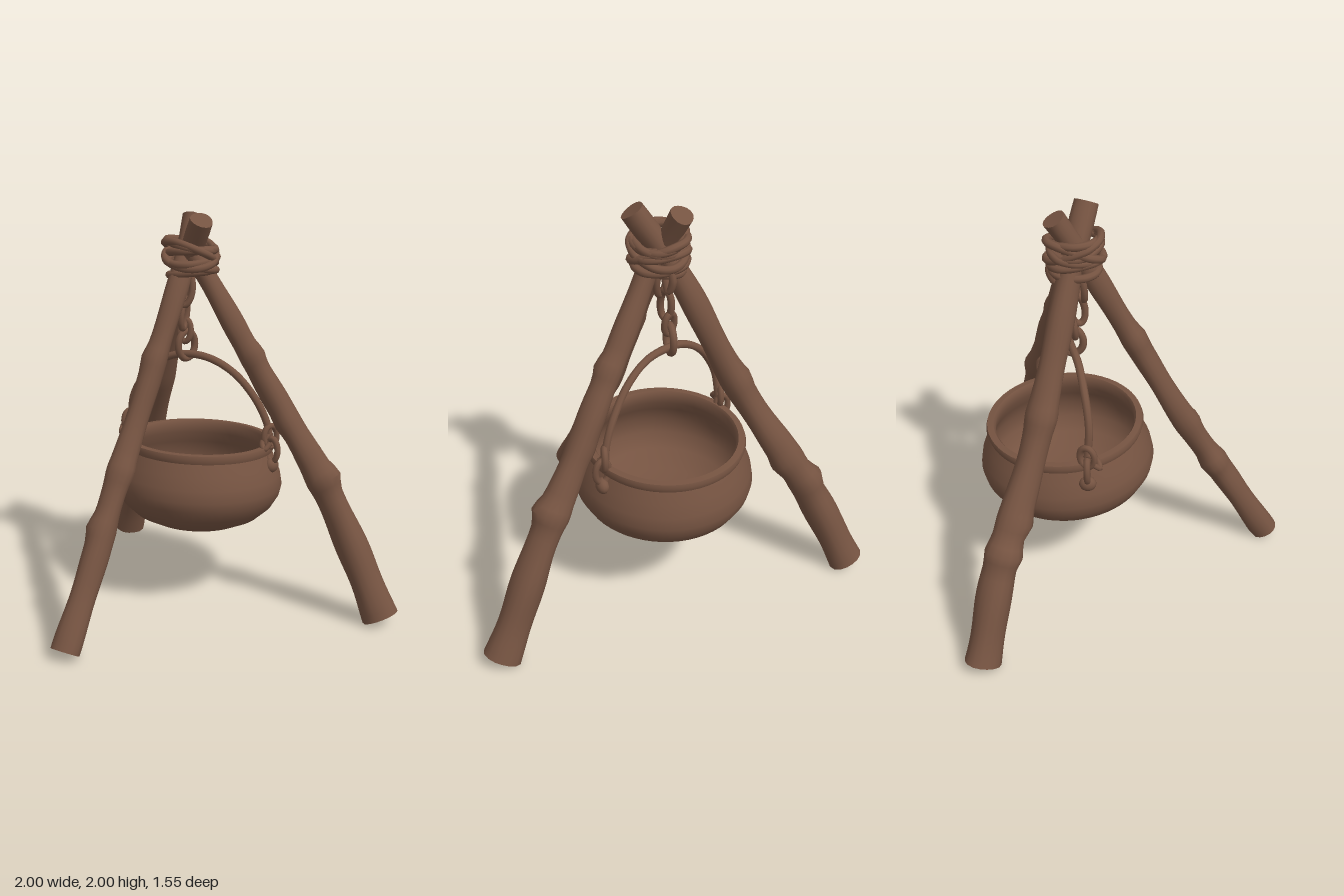
import * as THREE from 'three';
import { mergeVertices, toCreasedNormals } from 'three/addons/utils/BufferGeometryUtils.js';

const V = (p) => new THREE.Vector3(...p);
const UP = new THREE.Vector3(0, 1, 0);

export function createModel() {
  const model = new THREE.Group();
  model.name = 'campfireCauldron';
  const brown = new THREE.MeshStandardMaterial({ color: 0x755341 });
  brown.name = 'brown';

  function add(name, geometry, parent = model) {
    const mesh = new THREE.Mesh(geometry, brown);
    mesh.name = name;
    parent.add(mesh);
    return mesh;
  }
  const tube = (points, radius, segments = 32, closed = false) =>
    new THREE.TubeGeometry(new THREE.CatmullRomCurve3(points.map(V), closed), segments, radius, 8, closed);

  // A rough branch: a capped cylinder bent along a curve, with knots [t, angle, height]
  function branch(points, r0, r1, knots, seed) {
    const curve = new THREE.CatmullRomCurve3(points.map(V));
    let geo = new THREE.CylinderGeometry(1, 1, 1, 16, 56);
    geo.deleteAttribute('uv');
    geo.deleteAttribute('normal');
    geo = mergeVertices(geo);
    const pos = geo.attributes.position;
    const q = new THREE.Quaternion();
    for (let i = 0; i < pos.count; i++) {
      const v = new THREE.Vector3().fromBufferAttribute(pos, i);
      const t = v.y + 0.5;
      const a = Math.atan2(v.z, v.x);
      let r = r1 + (r0 - r1) * Math.pow(1 - t, 1.25);
      r *= 1 + 0.05 * Math.sin(t * 31 + seed) + 0.04 * Math.sin(3 * a + t * 17 + seed);
      for (const [kt, ka, h] of knots) {
        r += h * Math.exp(-(((t - kt) / 0.022) ** 2)) * (0.55 + 0.45 * Math.cos(a - ka));
      }
      v.y = 0;
      v.multiplyScalar(r);
      q.setFromUnitVectors(UP, curve.getTangentAt(t));
      v.applyQuaternion(q).add(curve.getPointAt(t));
      pos.setXYZ(i, v.x, Math.max(0, v.y), v.z);
    }
    return toCreasedNormals(geo, 0.8);
  }

  // Three legs crossing under the lashing
  add('frontLeg', branch(
    [[0.06, 0.03, 0.715], [0.02, 0.45, 0.47], [-0.02, 0.95, 0.19], [-0.045, 1.65, -0.17], [-0.1, 1.965, -0.34]],
    0.068, 0.052, [[0.27, 3, 0.02], [0.4, 0.5, 0.012], [0.66, 2, 0.012]], 1));
  add('leftLeg', branch(
    [[0.92, 0.035, -0.62], [0.63, 0.66, -0.53], [0.43, 1.0, -0.45], [0.05, 1.67, -0.285], [-0.04, 1.83, -0.24]],
    0.088, 0.05, [[0.36, 0, 0.028], [0.7, 0, 0.018], [0.52, 2.5, 0.01]], 2));
  add('rightLeg', branch(
    [[-0.915, 0.035, -0.69], [-0.705, 0.5, -0.59], [-0.42, 1.0, -0.43], [-0.1, 1.68, -0.28], [0.075, 1.965, -0.205]],
    0.088, 0.055, [[0.25, 3, 0.03], [0.32, 1, 0.02], [0.55, 3, 0.012]], 3));

  // Rope lashing: wavy turns plus two crossing turns
  const lashing = new THREE.Group();
  lashing.name = 'ropeLashing';
  lashing.position.set(-0.035, 0, -0.255);
  model.add(lashing);
  const turns = [
    [1.7, 0.105, 0.015], [1.735, 0.118, -0.02], [1.77, 0.12, 0.02],
    [1.805, 0.115, -0.015], [1.835, 0.118, 0.025], [1.8, 0.125, 0.06], [1.79, 0.125, -0.06],
  ];
  turns.forEach(([y, r, tilt], n) => {
    const ring = [];
    for (let i = 0; i < 12; i++) {
      const a = (i / 12) * Math.PI * 2;
      const k = r * (1 + 0.06 * Math.cos(3 * a + n));
      ring.push([k * Math.cos(a), y + tilt * Math.cos(a + n * 0.9), k * Math.sin(a)]);
    }
    add('ropeTurn', tube(ring, 0.019, 48, true), lashing);
  });
  add('ropeEnd', tube([[0, 1.74, -0.11], [-0.01, 1.67, -0.12], [0, 1.62, -0.1], [0.01, 1.68, -0.08]], 0.018), lashing);

  // Chain of long links, alternately turned
  function link(name, [x, y, z], halfW, halfH, r, turn, lean = 0) {
    const pts = [];
    for (let i = 0; i < 16; i++) {
      const a = (i / 16) * Math.PI * 2;
      pts.push([halfW * Math.cos(a), halfH * Math.sin(a), 0]);
    }
    const mesh = add(name, tube(pts, r, 32, true));
    mesh.position.set(x, y, z);
    mesh.rotation.set(lean, turn, 0, 'XYZ');
    return mesh;
  }
  link('chainLink', [-0.06, 1.62, -0.235], 0.04, 0.085, 0.017, 0.5, -0.12);
  link('chainLink', [-0.075, 1.49, -0.25], 0.035, 0.075, 0.017, 1.9, -0.15);
  link('chainLink', [-0.085, 1.4, -0.27], 0.03, 0.055, 0.016, 0.3, -0.1);
  link('chainHookRing', [-0.085, 1.325, -0.28], 0.055, 0.07, 0.018, 1.45);

  // Pot with a thick wall and banded rim, hanging slightly tilted
  const pot = new THREE.Group();
  pot.name = 'pot';
  pot.position.set(-0.04, 0.6, -0.325);
  pot.rotation.x = -0.035;
  model.add(pot);
  const belly = [
    [0, -0.225], [0.13, -0.22], [0.24, -0.198], [0.33, -0.155], [0.39, -0.1], [0.425, -0.04], [0.436, 0.01],
    [0.425, 0.07], [0.4, 0.13], [0.38, 0.175], [0.37, 0.195], [0.384, 0.195], [0.392, 0.22], [0.386, 0.238],
    [0.355, 0.24], [0.345, 0.225], [0.35, 0.17], [0.38, 0.11], [0.41, 0.03], [0.4, -0.05], [0.35, -0.12],
    [0.24, -0.17], [0.12, -0.19], [0, -0.195],
  ].map(([r, y]) => new THREE.Vector2(r, y));
  const bowl = new THREE.LatheGeometry(belly, 56);
  bowl.deleteAttribute('uv');
  bowl.deleteAttribute('normal');
  add('potBowl', toCreasedNormals(mergeVertices(bowl, 1e-4), 0.7), pot);

  // Arched carrying handle
  add('handle', tube([
    [-0.4, 0.88, -0.2], [-0.375, 1.03, -0.19], [-0.285, 1.18, -0.215], [-0.18, 1.255, -0.245], [-0.08, 1.28, -0.28],
    [0.05, 1.265, -0.32], [0.165, 1.195, -0.37], [0.26, 1.07, -0.42], [0.31, 0.95, -0.45], [0.32, 0.88, -0.46],
  ], 0.019, 60));

  // Ears on both sides: lug on the pot, ring and curled handle end
  for (const [x, z, s] of [[-0.41, -0.2, -1], [0.325, -0.46, 1]]) {
    const turn = s < 0 ? 1.2 : 1.25;
    link('handleEye', [x, 0.885, z], 0.038, 0.055, 0.016, turn);
    link('earRing', [x + s * 0.012, 0.815, z], 0.034, 0.06, 0.016, turn - 1.2);
    const lug = add('potLug', new THREE.SphereGeometry(0.035, 14, 10));
    lug.scale.set(0.9, 1.1, 1.2);
    lug.position.set(x + s * 0.012, 0.735, z);
    add('handleCurl', tube([
      [x, 0.9, z], [x - s * 0.015, 0.86, z + 0.045], [x + s * 0.01, 0.83, z + 0.06], [x + s * 0.025, 0.86, z + 0.03],
    ], 0.014, 20));
  }
  return model;
}
